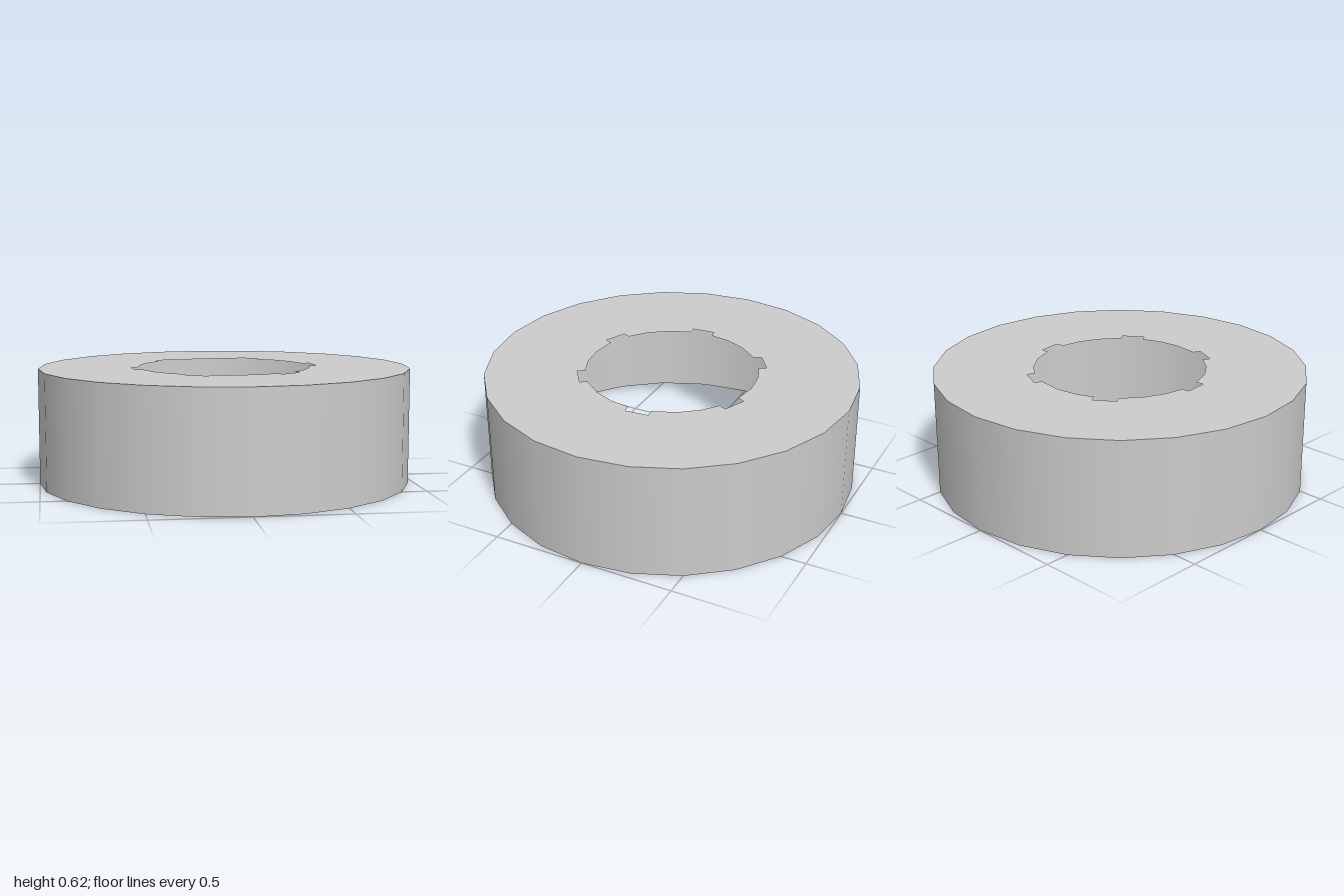
import * as THREE from 'three';

const SIDES = 24, OUTER = 1, HEIGHT = 0.62;
const HOLE = 0.463, NOTCH_DEPTH = 0.506, NOTCH_HALF_WIDTH = 0.0625;

const polar = (r, a) => new THREE.Vector2(r * Math.cos(a), r * Math.sin(a));
const rad = THREE.MathUtils.degToRad;

// Central hole: faceted circle with six parallel-sided notches
function notchedHole() {
  const points = [];
  const innerHalf = Math.asin(NOTCH_HALF_WIDTH / HOLE);
  const outerHalf = Math.asin(NOTCH_HALF_WIDTH / NOTCH_DEPTH);
  for (let i = 0; i < 6; i++) {
    const start = rad(60 * i), mid = start + rad(6);
    points.push(
      polar(HOLE, mid - innerHalf), polar(NOTCH_DEPTH, mid - outerHalf),
      polar(NOTCH_DEPTH, mid + outerHalf), polar(HOLE, mid + innerHalf)
    );
    for (const step of [15, 30, 45]) points.push(polar(HOLE, start + rad(step)));
  }
  return new THREE.Path(points.reverse());
}

export function createModel() {
  const group = new THREE.Group();
  group.name = 'notchedRingCap';
  const material = new THREE.MeshStandardMaterial({ color: 0xcccccc, side: THREE.DoubleSide });

  // Thin outer wall, open at the bottom
  const wall = new THREE.Mesh(
    new THREE.CylinderGeometry(OUTER, OUTER, HEIGHT, SIDES, 1, true), material);
  wall.name = 'outerWall';
  wall.position.y = HEIGHT / 2;

  // Flat top plate
  const outline = new THREE.Shape(
    Array.from({ length: SIDES }, (_, i) => polar(OUTER, rad(i * 360 / SIDES))));
  outline.holes.push(notchedHole());
  const plate = new THREE.Mesh(new THREE.ShapeGeometry(outline).rotateX(-Math.PI / 2), material);
  plate.name = 'topPlate';
  plate.position.y = HEIGHT;

  group.add(wall, plate);
  return group;
}
